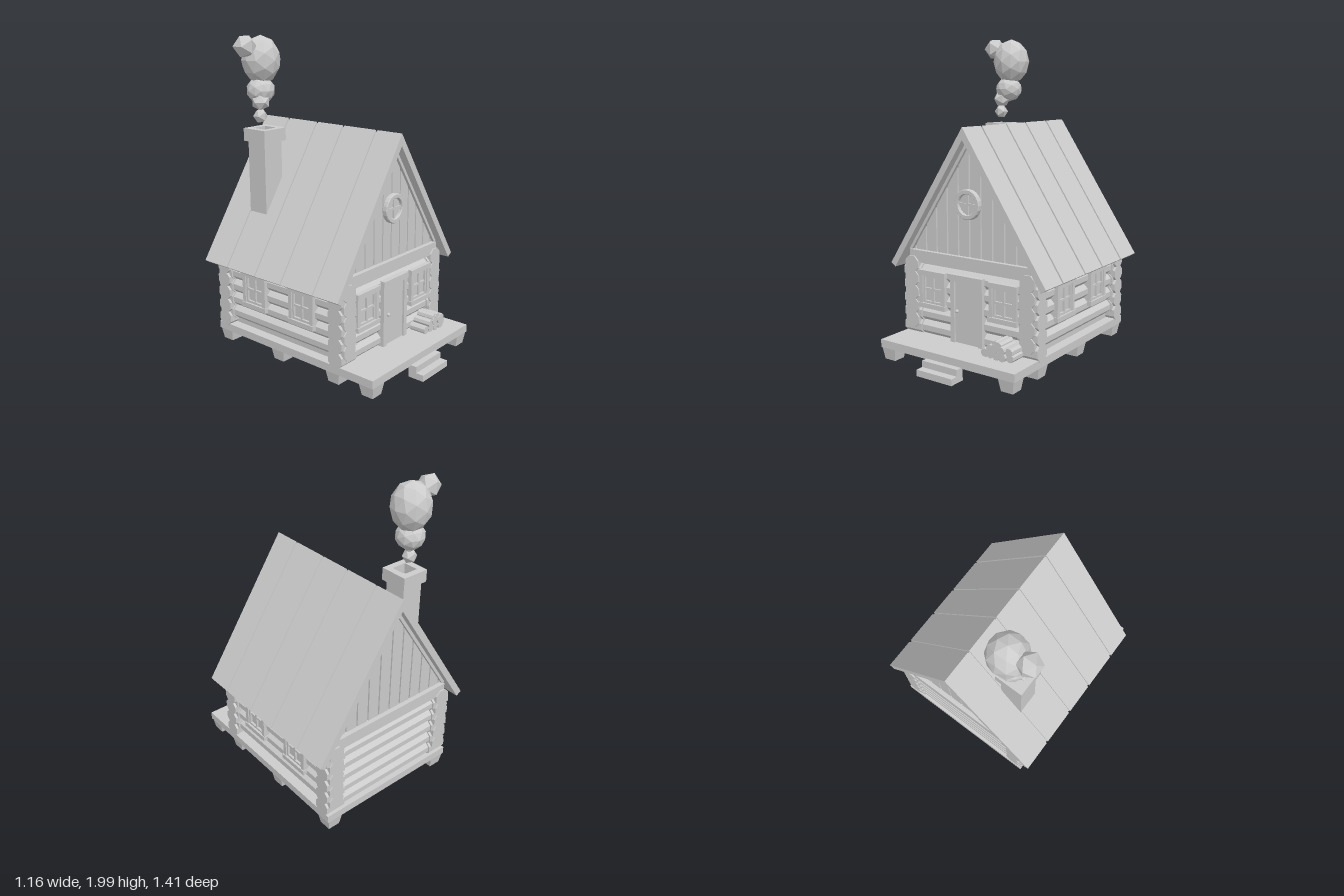
import * as THREE from 'three';

const mat = new THREE.MeshStandardMaterial({ color: 0xcccccc, flatShading: true });

function add(parent, name, geo, x = 0, y = 0, z = 0) {
  const m = new THREE.Mesh(geo, mat);
  m.name = name;
  m.position.set(x, y, z);
  parent.add(m);
  return m;
}

// Box given by its minimum and maximum on each axis
function box(parent, name, x0, x1, y0, y1, z0, z1) {
  return add(parent, name, new THREE.BoxGeometry(x1 - x0, y1 - y0, z1 - z0),
    (x0 + x1) / 2, (y0 + y1) / 2, (z0 + z1) / 2);
}

function group(parent, name) {
  const g = new THREE.Group();
  g.name = name;
  parent.add(g);
  return g;
}

// Polygon in the xy plane extruded from z0 to z1
function prism(parent, name, pts, z0, z1) {
  const shape = new THREE.Shape(pts.map(p => new THREE.Vector2(...p)));
  return add(parent, name, new THREE.ExtrudeGeometry(shape, { depth: z1 - z0, bevelEnabled: false }), 0, 0, z0);
}

// Eight-sided log, flat faces outward, lying along x or z
function log(parent, name, axis, r, a, b, y, other) {
  const geo = new THREE.CylinderGeometry(r / Math.cos(Math.PI / 8), r / Math.cos(Math.PI / 8), b - a, 8);
  geo.rotateY(Math.PI / 8);
  if (axis === 'x') geo.rotateZ(Math.PI / 2); else geo.rotateX(Math.PI / 2);
  const mid = (a + b) / 2;
  return axis === 'x' ? add(parent, name, geo, mid, y, other) : add(parent, name, geo, other, y, mid);
}

// Four-pane window facing +z, centred on its origin
function makeWindow(parent, name, x, y, z, turn) {
  const g = group(parent, name);
  g.position.set(x, y, z);
  g.rotation.y = turn;
  const w = 0.1, h = 0.115;
  box(g, 'glass', -w, w, -h, h, -0.06, -0.008);
  for (const s of [-1, 1]) {
    box(g, 'sideFrame', s * 0.0875 - 0.0125, s * 0.0875 + 0.0125, -h, h, -0.05, 0.014);
    box(g, 'crossFrame', -0.105, 0.105, s * 0.105 - 0.015, s * 0.105 + 0.015, -0.05, 0.02);
    box(g, 'sashSide', s * 0.069 - 0.007, s * 0.069 + 0.007, -0.09, 0.09, -0.01, 0.006);
    box(g, 'sashRail', -0.076, 0.076, s * 0.083 - 0.007, s * 0.083 + 0.007, -0.01, 0.006);
  }
  box(g, 'verticalBar', -0.007, 0.007, -h, h, -0.01, 0.004);
  box(g, 'horizontalBar', -w, w, -0.007, 0.007, -0.01, 0.004);
}

export function createModel() {
  const root = new THREE.Group();
  root.name = 'logCabin';
  const FRONT = 0.335, BACK = -0.62, SIDE = 0.435, SLOPE = 1.517;

  // Platform on tapered feet, with front steps
  const base = group(root, 'base');
  box(base, 'platform', -0.5, 0.5, 0.075, 0.125, -0.68, 0.615);
  for (const x of [-0.44, 0.44]) for (const z of [0.56, 0.305, -0.15, -0.625]) {
    const foot = new THREE.CylinderGeometry(0.053 * Math.SQRT2, 0.04 * Math.SQRT2, 0.078, 4);
    add(base, 'foot', foot.rotateY(Math.PI / 4), x, 0.039, z);
  }
  box(base, 'lowerStep', -0.13, 0.13, 0, 0.04, 0.6, 0.705);
  box(base, 'upperStep', -0.13, 0.13, 0.04, 0.08, 0.6, 0.655);

  // Log walls with interlocking corners
  const walls = group(root, 'walls');
  box(walls, 'wallCore', -SIDE, SIDE, 0.12, 0.66, BACK, FRONT);
  for (let i = 0; i < 6; i++) {
    const ySide = 0.57 - i * 0.09, yEnd = ySide - 0.045;
    for (const x of [-SIDE, SIDE]) {
      if (i < 5) log(walls, 'sideLog', 'z', 0.042, BACK, FRONT, ySide, x);
      if (i < 5) for (const z of [FRONT, BACK])
        log(walls, 'sideLogEnd', 'z', 0.052, z - 0.06, z + 0.06, ySide, x);
    }
    if (i < 5) for (const z of [FRONT, BACK]) {
      log(walls, 'endLog', 'x', 0.042, -SIDE, SIDE, yEnd, z);
      for (const x of [-SIDE, SIDE])
        log(walls, 'endLogEnd', 'x', 0.052, x - 0.068, x + 0.068, yEnd, z);
    }
  }

  // Plank gables, beams and trim at both ends
  const gables = group(root, 'gables');
  const under = x => 1.368 - SLOPE * Math.abs(x);
  prism(gables, 'gableCore', [[-0.46, 0.65], [0.46, 0.65], [0, 1.36]], BACK - 0.005, FRONT + 0.005);
  for (const [z, s] of [[FRONT, 1], [BACK, -1]]) {
    const span = (d0, d1) => s > 0 ? [z + d0, z + d1] : [z - d1, z - d0];
    for (let i = -6; i < 6; i++) {
      const a = Math.max(i * 0.085 + 0.005, -0.46), b = Math.min((i + 1) * 0.085 - 0.005, 0.46);
      if (b > a) prism(gables, 'gablePlank', [[a, 0.65], [b, 0.65], [b, under(b)], [a, under(a)]], ...span(0, 0.022));
    }
    box(gables, 'beam', -0.455, 0.455, 0.585, 0.662, ...span(0, 0.05));
    for (const m of [-1, 1]) {
      const pts = [[0, 1.37], [m * 0.465, 0.665], [m * 0.445, 0.662], [0, 1.335]];
      prism(gables, 'gableTrim', m > 0 ? pts : pts.reverse(), ...span(0, 0.04));
    }
  }

  // Roof of five folded panels over a slightly lower sheet
  const roof = group(root, 'roof');
  const chevron = (top, ex, ey, t) => {
    const nx = t * 0.835, ny = t * 0.55;
    return [[0, top], [-ex, ey], [-ex + nx, ey - ny], [0, top - t / 0.55], [ex - nx, ey - ny], [ex, ey]];
  };
  prism(roof, 'roofSheet', chevron(1.428, 0.571, 0.562, 0.03), -0.7, 0.42);
  const cuts = [-0.705, -0.492, -0.242, -0.023, 0.237, 0.425];
  for (let i = 0; i < 5; i++)
    prism(roof, 'roofPanel', chevron(1.445, 0.58, 0.565, 0.041),
      cuts[i] + (i > 0 ? 0.007 : 0), cuts[i + 1] - (i < 4 ? 0.007 : 0));

  // Round attic window
  const attic = group(root, 'roundWindow');
  attic.position.set(0, 0.985, 0.36);
  add(attic, 'glass', new THREE.CylinderGeometry(0.075, 0.075, 0.02, 20).rotateX(Math.PI / 2));
  const ring = new THREE.Shape().absarc(0, 0, 0.088, 0, Math.PI * 2);
  ring.holes.push(new THREE.Path().absarc(0, 0, 0.067, 0, Math.PI * 2, true));
  add(attic, 'ring', new THREE.ExtrudeGeometry(ring, {
    depth: 0.025, bevelSize: 0.004, bevelThickness: 0.005, bevelSegments: 1, curveSegments: 10
  }));
  box(attic, 'verticalBar', -0.007, 0.007, -0.07, 0.07, 0, 0.02);
  box(attic, 'horizontalBar', -0.07, 0.07, -0.007, 0.007, 0, 0.02);

  // Windows on the front and both sides
  for (const s of [-1, 1]) {
    makeWindow(root, 'frontWindow', s * 0.267, 0.425, 0.385, 0);
    for (const z of [0.06, -0.345])
      makeWindow(root, 'sideWindow', s * 0.485, 0.415, z, s * Math.PI / 2);
  }

  // Door
  const door = group(root, 'door');
  box(door, 'doorPanel', -0.09, 0.09, 0.125, 0.515, 0.33, 0.387);
  for (const s of [-1, 1])
    box(door, 'doorPost', s * 0.105 - 0.015, s * 0.105 + 0.015, 0.125, 0.515, 0.33, 0.4);
  box(door, 'doorHeader', -0.122, 0.122, 0.512, 0.552, 0.33, 0.405);
  add(door, 'doorKnob', new THREE.IcosahedronGeometry(0.012, 1), -0.07, 0.325, 0.398);

  // Chimney with a hollow cap
  const chimney = group(root, 'chimney');
  box(chimney, 'shaft', -0.365, -0.22, 0.75, 1.36, -0.492, -0.348);
  const square = (r, path) => path.moveTo(-r, -r).lineTo(r, -r).lineTo(r, r).lineTo(-r, r).closePath();
  const cap = square(0.092, new THREE.Shape());
  cap.holes.push(square(0.05, new THREE.Path()));
  const capGeo = new THREE.ExtrudeGeometry(cap, { depth: 0.08, bevelEnabled: false }).rotateX(-Math.PI / 2);
  add(chimney, 'cap', capGeo, -0.292, 1.345, -0.42);

  // Faceted smoke puffs: x, y, z, width, height, detail
  const smoke = group(root, 'smoke');
  const puffs = [
    [-0.32, 1.502, -0.425, 0.046, 0.047, 0], [-0.315, 1.588, -0.425, 0.06, 0.055, 0],
    [-0.28, 1.655, -0.458, 0.09, 0.085, 1], [-0.265, 1.84, -0.465, 0.123, 0.15, 1],
    [-0.398, 1.927, -0.462, 0.074, 0.073, 0]
  ];
  puffs.forEach(([x, y, z, w, h, detail], i) => {
    const geo = new THREE.IcosahedronGeometry(1, detail);
    if (i < 3) geo.rotateY(i * 0.7);
    add(smoke, 'smokePuff', geo, x, y, z).scale.set(w, h, w);
  });

  // Firewood stack beside the door
  const wood = group(root, 'firewood');
  const pile = [[0.208, 0.152], [0.252, 0.153], [0.297, 0.152], [0.342, 0.153], [0.385, 0.152],
    [0.25, 0.184], [0.285, 0.192], [0.335, 0.19], [0.378, 0.184], [0.29, 0.213], [0.312, 0.212]];
  pile.forEach(([x, y], i) => {
    const front = 0.495 + ((i * 5) % 4) * 0.006;
    log(wood, 'woodLog', 'z', 0.024, 0.38, front, y, x).rotation.z = i * 0.4;
  });
  return root;
}
